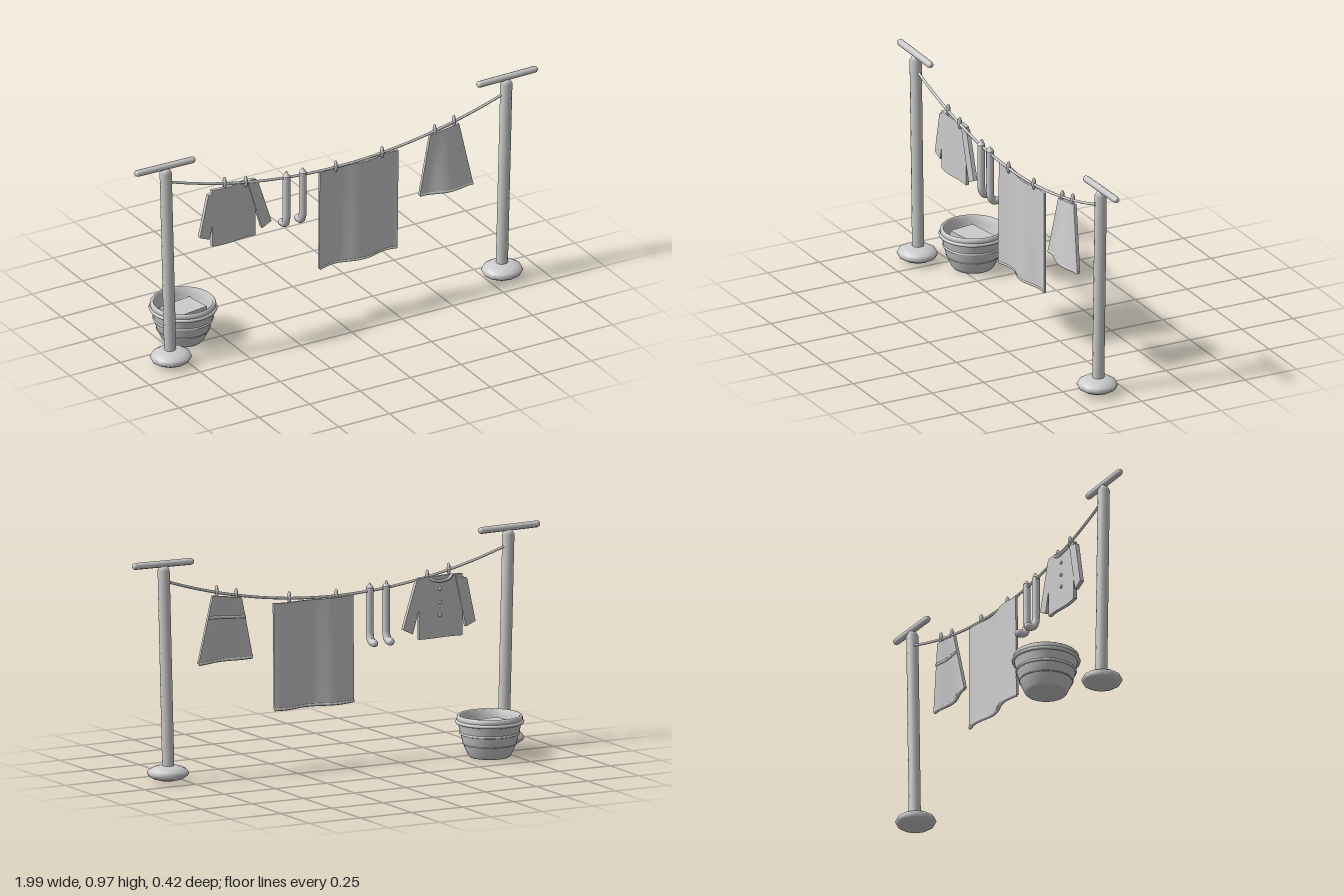
import * as THREE from 'three';

const Z = 0.116; // depth of the posts and rope
const ropeY = (x) => 0.735 + 0.14 * (x / 0.83) ** 2;

export function createModel() {
  const model = new THREE.Group();
  const grey = new THREE.MeshStandardMaterial({ color: 0xcccccc });
  grey.name = 'light grey';

  function add(name, geo, x = 0, y = 0, z = 0, parent = model) {
    const mesh = new THREE.Mesh(geo, grey);
    mesh.name = name;
    mesh.position.set(x, y, z);
    parent.add(mesh);
    return mesh;
  }
  const tube = (pts, r, n = 24, sides = 8) => new THREE.TubeGeometry(
    new THREE.CatmullRomCurve3(pts.map((p) => new THREE.Vector3(...p))), n, r, sides);

  // Thin cloth: a subdivided slab whose (u, v) in 0..1 is mapped to a point
  function cloth(name, place, thickness, nx = 20, ny = 8) {
    const geo = new THREE.BoxGeometry(1, 1, 1, nx, ny, 1);
    const p = geo.attributes.position;
    for (let i = 0; i < p.count; i++) {
      const [x, y, z] = place(p.getX(i) + 0.5, p.getY(i) + 0.5);
      p.setXYZ(i, x, y, z + p.getZ(i) * thickness);
    }
    geo.computeVertexNormals();
    return add(name, geo);
  }
  // Rounded hem following one row of a cloth
  function hem(name, place, v, r, offset = 0) {
    const pts = [];
    for (let i = 0; i <= 12; i++) {
      const [x, y, z] = place(i / 12, v);
      pts.push([x, y, z + offset]);
    }
    add(name, tube(pts, r, 30, 6));
  }
  const lerp = THREE.MathUtils.lerp;

  // Posts with feet and crossbars, leaning slightly outward
  for (const s of [-1, 1]) {
    const post = new THREE.Group();
    post.name = s < 0 ? 'rightPost' : 'leftPost';
    model.add(post);
    const shaft = add('shaft', new THREE.LatheGeometry([
      [0, 0], [0.026, 0], [0.026, 0.895], [0.015, 0.915], [0, 0.915],
    ].map((p) => new THREE.Vector2(...p)), 12), s * 0.82, 0.03, Z, post);
    shaft.rotation.z = -s * 0.026;
    const foot = add('foot', new THREE.SphereGeometry(1, 12, 8), s * 0.82, 0.04, Z + 0.004, post);
    foot.scale.set(0.092, 0.035, 0.088);
    const bar = add('crossbar', new THREE.CapsuleGeometry(0.015, 0.27, 3, 8), s * 0.847, 0.953, Z, post);
    bar.rotation.z = Math.PI / 2 + s * 0.012;
  }

  // Sagging rope
  const ropePts = [];
  for (let i = 0; i <= 16; i++) {
    const x = lerp(-0.835, 0.835, i / 16);
    ropePts.push([x, ropeY(x), Z - 0.002]);
  }
  add('rope', tube(ropePts, 0.006, 48));

  // Pegs
  for (const x of [-0.55, -0.445, -0.245, -0.165, 0, 0.23, 0.49, 0.585]) {
    const peg = add('peg', new THREE.SphereGeometry(1, 8, 6), x, ropeY(x) + 0.004, Z - 0.002);
    peg.scale.set(0.008, 0.028, 0.011);
  }

  // Shirt: body, two sleeves, collar and buttons on the back-facing side
  const shirtZ = (x) => 0.106 + 0.005 * Math.sin((x + 0.61) * 26);
  cloth('shirtBody', (u, v) => {
    const x = lerp(-0.61, -0.395, u);
    return [x, lerp(0.508, 0.777, v), shirtZ(x)];
  }, 0.016);
  function sleeve(name, tl, tr, bl, br) {
    cloth(name, (u, v) => {
      const x = lerp(lerp(bl[0], br[0], u), lerp(tl[0], tr[0], u), v);
      const y = lerp(lerp(bl[1], br[1], u), lerp(tl[1], tr[1], u), v);
      return [x, y, 0.105];
    }, 0.018, 4, 6);
  }
  sleeve('rightSleeve', [-0.63, 0.757], [-0.575, 0.77], [-0.672, 0.565], [-0.625, 0.545]);
  sleeve('leftSleeve', [-0.435, 0.772], [-0.385, 0.768], [-0.365, 0.535], [-0.318, 0.558]);
  add('collar', tube([[-0.56, 0.777, 0.102], [-0.54, 0.763, 0.094], [-0.5, 0.756, 0.092],
    [-0.46, 0.763, 0.094], [-0.44, 0.777, 0.102]], 0.007, 20, 6));
  for (const y of [0.72, 0.662, 0.607]) {
    const button = add('button', new THREE.SphereGeometry(1, 8, 6), -0.5, y, shirtZ(-0.5) - 0.009);
    button.scale.set(0.008, 0.008, 0.006);
  }

  // Socks: a straight leg bending into a foot that points backwards
  for (const x of [-0.245, -0.165]) {
    add('sock', tube([[x, 0.755, Z], [x, 0.68, Z], [x, 0.6, Z], [x, 0.545, Z - 0.002],
      [x, 0.522, Z - 0.014], [x, 0.518, Z - 0.04]], 0.017, 24, 10));
    add('sockToe', new THREE.SphereGeometry(0.017, 10, 8), x, 0.518, Z - 0.04);
    add('sockTop', new THREE.ConeGeometry(0.017, 0.022, 10), x, 0.766, Z);
  }

  // Sheet with soft vertical folds
  const sheet = (u, v) => [
    lerp(-0.083, 0.312, u) + 0.004 * (v - 0.5),
    lerp(0.27, 0.733, v) - 0.004 * Math.sin(u * Math.PI) * v,
    0.108 + 0.012 * Math.sin(u * 9.5 + 2.6) * (1.1 - 0.3 * v),
  ];
  cloth('sheet', sheet, 0.01, 28, 10);
  hem('sheetHem', sheet, 0, 0.008);

  // Skirt, flared and swinging forward towards its hem
  const skirt = (u, v) => [
    lerp(lerp(0.402, 0.668, u), lerp(0.465, 0.607, u), v),
    lerp(0.505 - 0.008 * u, 0.772 + 0.02 * u, v),
    lerp(0.14 + 0.011 * Math.sin(u * 7 - 2.2), 0.114, v),
  ];
  cloth('skirt', skirt, 0.014, 20, 8);
  hem('skirtHem', skirt, 0, 0.009);
  hem('skirtBand', skirt, 0.68, 0.007, -0.006);

  // Basket with hollow inside, rim and hoops
  const basket = new THREE.Group();
  basket.name = 'basket';
  basket.position.set(-0.654, 0, -0.061);
  model.add(basket);
  add('basketShell', new THREE.LatheGeometry([
    [0, 0.003], [0.085, 0.003], [0.093, 0.012], [0.115, 0.06], [0.127, 0.107], [0.137, 0.155],
    [0.142, 0.168], [0.141, 0.18], [0.134, 0.186], [0.127, 0.182], [0.122, 0.155],
    [0.108, 0.08], [0.095, 0.035], [0, 0.035],
  ].map((p) => new THREE.Vector2(...p)), 28), 0, 0, 0, basket);
  for (const [y, r, t] of [[0.06, 0.114, 0.003], [0.107, 0.126, 0.006], [0.156, 0.14, 0.008]]) {
    const hoop = add('hoop', new THREE.TorusGeometry(r, t, 8, 28), 0, y, 0, basket);
    hoop.rotation.x = Math.PI / 2;
  }
  // Folded laundry in the basket
  const laundry = add('foldedLaundry', new THREE.BoxGeometry(0.165, 0.1, 0.12), 0, 0.105, 0, basket);
  laundry.rotation.y = 0.16;

  return model;
}
